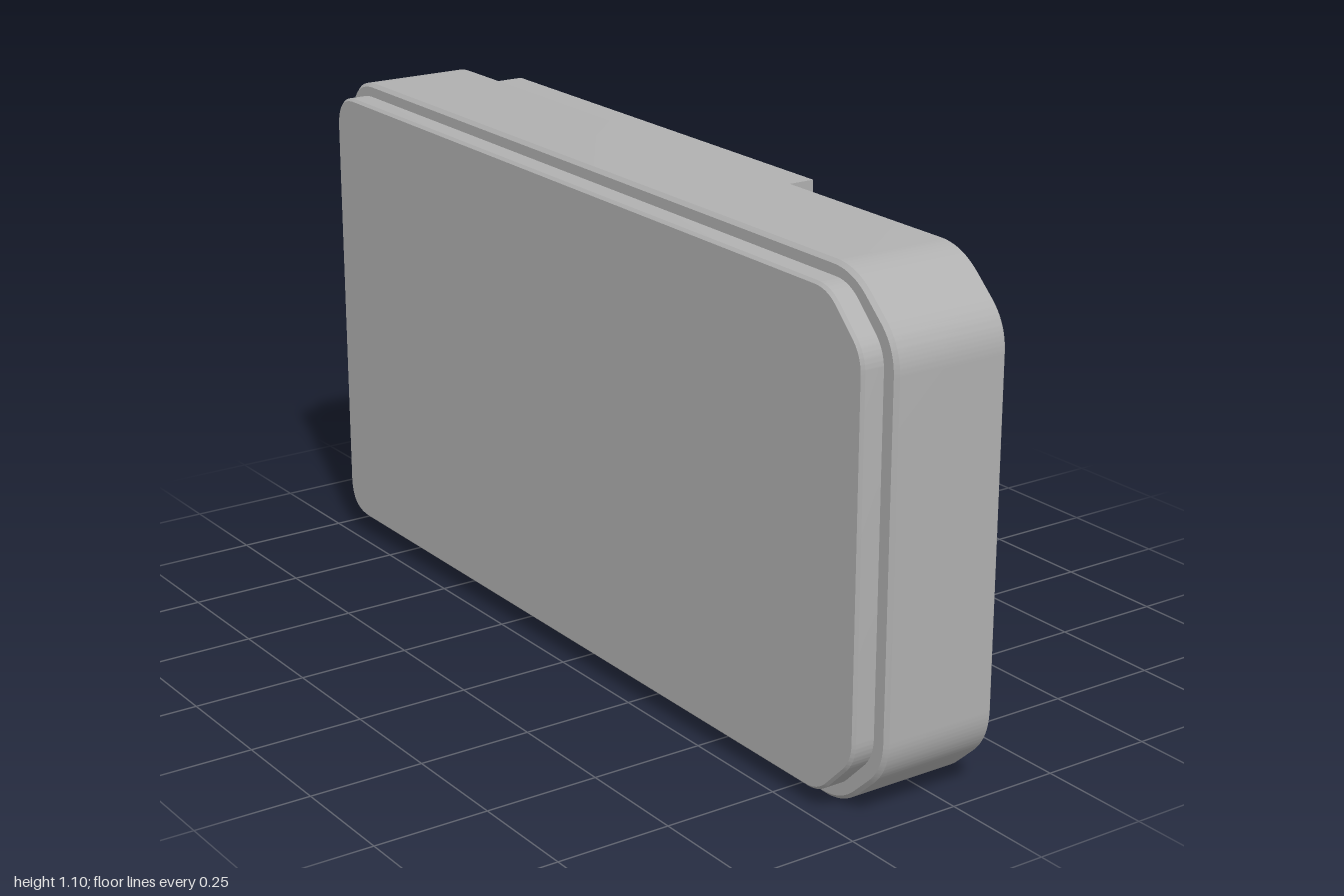
import * as THREE from 'three';
import { toCreasedNormals } from 'three/addons/utils/BufferGeometryUtils.js';

// Profiles are drawn as (s, y) with s = -z, then extruded along +x.
const grey = new THREE.MeshStandardMaterial({ color: 0xb0b0b0 });
grey.name = 'housing grey';

// Polygon with rounded corners; each point is [s, y, radius]
function roundPoly(pts) {
  const shape = new THREE.Shape();
  const n = pts.length;
  pts.forEach((p, i) => {
    const c = new THREE.Vector2(p[0], p[1]);
    const towards = (q) => {
      const d = new THREE.Vector2(q[0], q[1]).sub(c);
      return d.setLength(Math.min(p[2], d.length() * 0.5)).add(c);
    };
    const a = towards(pts[(i + n - 1) % n]);
    const b = towards(pts[(i + 1) % n]);
    if (i === 0) shape.moveTo(a.x, a.y);
    else shape.lineTo(a.x, a.y);
    shape.quadraticCurveTo(c.x, c.y, b.x, b.y);
  });
  shape.closePath();
  return shape;
}

// Extrude a profile from x0 to x1, optionally bevelled inwards and reshaped by a rule
function slab(name, shape, x0, x1, bevel = 0, rule = null) {
  let g = new THREE.ExtrudeGeometry(shape, {
    depth: x1 - x0 - 2 * bevel, curveSegments: 24, bevelEnabled: bevel > 0,
    bevelThickness: bevel, bevelSize: bevel, bevelOffset: -bevel, bevelSegments: 1,
  });
  g.translate(0, 0, x0 + bevel);
  g.rotateY(Math.PI / 2);
  if (rule) {
    const p = g.attributes.position;
    const v = new THREE.Vector3();
    for (let i = 0; i < p.count; i++) {
      rule(v.fromBufferAttribute(p, i));
      p.setXYZ(i, v.x, v.y, v.z);
    }
  }
  g.deleteAttribute('normal');
  g = toCreasedNormals(g, 0.5);
  const mesh = new THREE.Mesh(g, grey);
  mesh.name = name;
  return mesh;
}

// Hole that flares to a point on one side
function teardrop(s, y, r, tipS, tipY) {
  const a = Math.atan2(tipY - y, tipS - s);
  const path = new THREE.Path();
  path.moveTo(tipS, tipY);
  path.absarc(s, y, r, a + 0.9, a - 0.9 + 2 * Math.PI, false);
  path.closePath();
  return path;
}

function disc(s, y, r) {
  const shape = new THREE.Shape();
  shape.absarc(s, y, r, 0, Math.PI * 2, false);
  return shape;
}

export function createModel() {
  const model = new THREE.Group();
  model.name = 'gearHousing';

  // Main case: chamfered at one end, rounded at the other
  model.add(slab('case', roundPoly([
    [-1, 0.12, 0.06], [-0.87, 0, 0.06], [1, 0.02, 0.11], [1, 1.1, 0.11],
    [-0.87, 1.085, 0.06], [-1, 0.965, 0.06],
  ]), -0.175, 0.09, 0.008));

  // Inset cover on the flat side
  model.add(slab('cover', roundPoly([
    [-0.965, 0.14, 0.04], [-0.86, 0.035, 0.04], [0.975, 0.045, 0.08], [0.975, 1.07, 0.08],
    [-0.86, 1.055, 0.04], [-0.965, 0.95, 0.04],
  ]), -0.225, -0.17, 0.006));

  // The far end of the raised parts leans back
  const lean = (v) => {
    if (v.z < -0.93) v.z = -0.995 + Math.max(0, v.x - 0.09) * 0.37;
  };
  const arcR = 0.47, arcS = -0.52, midY = 0.55;

  // Raised deck with a round cut-out and two notched corners
  const deck = new THREE.Shape();
  deck.moveTo(-0.31, 0.97);
  deck.absarc(arcS, midY, arcR, 1.107, -1.107, true);
  deck.lineTo(-0.31, 0.02);
  deck.lineTo(0.8, 0.03);
  deck.lineTo(0.8, 0.11);
  deck.quadraticCurveTo(0.81, 0.2, 0.89, 0.205);
  deck.lineTo(0.97, 0.205);
  deck.lineTo(0.97, 0.915);
  deck.lineTo(0.89, 0.915);
  deck.quadraticCurveTo(0.81, 0.92, 0.8, 1.01);
  deck.lineTo(0.8, 1.088);
  deck.lineTo(-0.31, 1.078);
  deck.closePath();
  for (const flip of [false, true]) {
    const m = (y) => (flip ? 1.11 - y : y);
    deck.holes.push(teardrop(-0.2, m(0.1), 0.042, -0.15, m(0.17)));
    deck.holes.push(teardrop(0.73, m(0.1), 0.042, 0.765, m(0.165)));
  }
  model.add(slab('deck', deck, 0.08, 0.168, 0, lean));

  // Central raised panel sharing the round cut-out
  const a = Math.asin(0.305 / arcR);
  const panel = new THREE.Shape();
  panel.absarc(arcS, midY + 0.005, arcR, a, -a, true);
  panel.lineTo(0.96, 0.25);
  panel.lineTo(0.96, 0.86);
  panel.closePath();
  model.add(slab('centrePanel', panel, 0.16, 0.213, 0, (v) => {
    lean(v);
    // Sloped long sides
    if (v.x > 0.2) v.y += v.y > 0.84 ? -0.008 : v.y < 0.27 ? 0.008 : 0;
  }));

  // Tapered ribs fanning out beside the cut-out
  for (const side of [1, -1]) {
    for (const [dy, len, tilt] of [[0.2, 0.16, 0.25], [0.235, 0.19, 0], [0.27, 0.15, -0.2]]) {
      const g = new THREE.ConeGeometry(0.022, len, 6);
      g.translate(0, len / 2, 0);
      g.rotateX(-Math.PI / 2);
      g.scale(0.35, 1, 1);
      const rib = new THREE.Mesh(g, grey);
      rib.name = 'rib';
      const s = arcS + Math.sqrt(arcR * arcR - dy * dy) + 0.012;
      rib.position.set(0.212, midY + side * dy, -s);
      rib.rotation.x = side * tilt;
      model.add(rib);
    }
  }

  // Flush round caps on the lower face and the sunken corners
  model.add(slab('hubDisc', disc(-0.54, midY, 0.235), 0.085, 0.092));
  for (const y of [0.14, 0.95]) model.add(slab('cornerCap', disc(-0.88, y, 0.08), 0.085, 0.092));
  for (const y of [0.115, 1.005]) model.add(slab('endCap', disc(0.9, y, 0.05), 0.085, 0.092));

  // Fine index marks around the hub
  for (const deg of [90, -90, 180, 35, -35]) {
    const long = Math.abs(deg) === 90;
    const len = long ? 0.12 : 0.05;
    const r = long ? 0.45 : 0.425;
    const t = THREE.MathUtils.degToRad(deg);
    const mark = new THREE.Mesh(new THREE.BoxGeometry(0.006, 0.01, len), grey);
    mark.name = 'indexMark';
    mark.position.set(0.089, midY + Math.sin(t) * r, 0.54 - Math.cos(t) * r);
    mark.rotation.x = t;
    model.add(mark);
  }
  return model;
}
